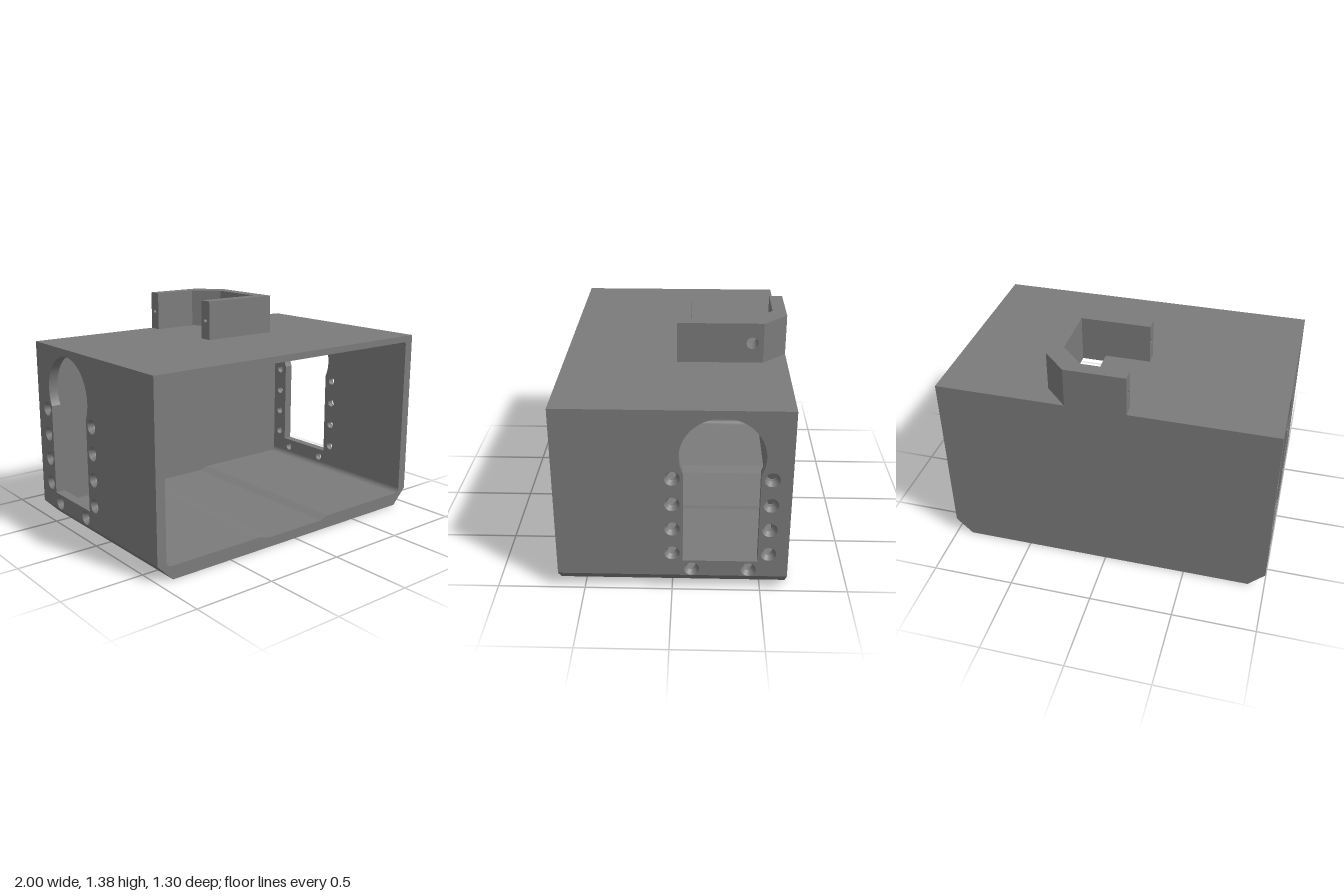
import * as THREE from 'three';

const material = new THREE.MeshStandardMaterial({ color: 0x7b7b7b, side: THREE.DoubleSide });
const V3 = (x, y, z) => new THREE.Vector3(x, y, z);

// Points on an arc, as [u, v] pairs
function arc(u, v, r, from = 0, to = Math.PI * 2, n = 32) {
  return Array.from({ length: n + 1 }, (_, i) => {
    const a = from + (to - from) * i / n;
    return [u + r * Math.cos(a), v + r * Math.sin(a)];
  });
}
const rect = (u0, v0, u1, v1) => [[u0, v0], [u1, v0], [u1, v1], [u0, v1]];
const toPath = (pts, Type) => new Type(pts.map(p => new THREE.Vector2(p[0], p[1])));

// Flat sheet with holes; place(u, v) puts each corner in space
function panel(name, outline, holes, place) {
  const shape = toPath(outline, THREE.Shape);
  shape.holes = holes.map(h => toPath(h, THREE.Path));
  const geo = new THREE.ShapeGeometry(shape);
  const pos = geo.attributes.position;
  for (let i = 0; i < pos.count; i++) {
    const p = place(pos.getX(i), pos.getY(i));
    pos.setXYZ(i, p.x, p.y, p.z);
  }
  geo.computeVertexNormals();
  const mesh = new THREE.Mesh(geo, material);
  mesh.name = name;
  return mesh;
}

// Band of quads between two matching rows of points
function band(name, pts, placeA, placeB, smooth = false) {
  const pos = [], idx = [];
  for (const [u, v] of pts) pos.push(...placeA(u, v).toArray(), ...placeB(u, v).toArray());
  for (let i = 0; i < pts.length - 1; i++) {
    const a = i * 2;
    idx.push(a, a + 2, a + 1, a + 1, a + 2, a + 3);
  }
  let geo = new THREE.BufferGeometry();
  geo.setAttribute('position', new THREE.Float32BufferAttribute(pos, 3));
  geo.setIndex(idx);
  if (!smooth) geo = geo.toNonIndexed();
  geo.computeVertexNormals();
  const mesh = new THREE.Mesh(geo, material);
  mesh.name = name;
  return mesh;
}

const TOP = 1.14, CEIL = 1.1, FRONT = 0.65, BACK = -0.65, BACK_IN = -0.6, IN = 0.942;
const atZ = z => (u, v) => V3(u, v, z);
const atY = y => (u, v) => V3(u, y, v);
const atX = x => (u, v) => V3(x, v, u);

function createBody() {
  const body = new THREE.Group();
  body.name = 'body';
  const under = [[-1, 0.1], [-0.9, 0], [0.9, 0], [1, 0.1]];
  const outer = [...under, [1, TOP], [-1, TOP]];
  // Rounded inner corners and a shallow channel along the floor
  const floor = [
    ...arc(-IN + 0.035, 0.115, 0.035, Math.PI, Math.PI * 1.5, 6),
    [-0.28, 0.08], [-0.21, 0.06], [0.21, 0.06], [0.28, 0.08],
    ...arc(IN - 0.035, 0.115, 0.035, Math.PI * 1.5, Math.PI * 2, 6),
  ];
  const topLeft = arc(IN - 0.02, CEIL - 0.02, 0.02, 0, Math.PI / 2, 5);
  const topRight = arc(-IN + 0.02, CEIL - 0.02, 0.02, Math.PI / 2, Math.PI, 5);
  const inner = [...floor, ...topLeft, ...topRight];
  const slot = rect(0.135, -0.43, 0.28, -0.09);

  body.add(
    panel('frontRim', outer, [inner], atZ(FRONT)),
    panel('backWallOutside', outer, [], atZ(BACK)),
    panel('backWallInside', inner, [], atZ(BACK_IN)),
    band('underside', under, atZ(FRONT), atZ(BACK)),
    band('floor', floor, atZ(FRONT), atZ(BACK_IN)),
    panel('roof', rect(-1, BACK, 1, FRONT), [slot], atY(TOP)),
    panel('ceiling', rect(-IN, BACK_IN, IN, FRONT), [slot], atY(CEIL)),
    band('roofSlot', [...slot, slot[0]], atY(TOP), atY(CEIL)),
  );
  // Ceiling fillets, interrupted where the doorways reach the ceiling
  for (const corner of [topLeft, topRight]) {
    body.add(
      band('ceilingFillet', corner, atZ(FRONT), atZ(-0.18), true),
      band('ceilingFillet', corner, atZ(-0.36), atZ(BACK_IN), true),
    );
  }
  for (const side of [-1, 1]) body.add(createSideWall(side));
  return body;
}

// Side wall with a keyhole doorway and countersunk screw holes
function createSideWall(side) {
  const wall = new THREE.Group();
  wall.name = side > 0 ? 'leftWall' : 'rightWall';
  const out = atX(side), mid = atX(side * 0.97), inn = atX(side * IN);
  const a = Math.acos(0.21 / 0.234);
  const head = arc(-0.27, 0.863, 0.234, -a, Math.PI + a, 56);
  const jambs = [head[head.length - 1], [-0.48, 0.2], [-0.06, 0.2], head[0]];
  const keyhole = [...head, [-0.48, 0.2], [-0.06, 0.2]];
  const screws = [[-0.11, 0.1435], [-0.43, 0.1435]];
  for (const y of [0.25, 0.41, 0.57, 0.731]) screws.push([0, y], [-0.54, y]);
  const ring = r => screws.map(([z, y]) => arc(z, y, r, 0, Math.PI * 2, 24).slice(0, -1));

  wall.add(
    panel('outside', rect(BACK, 0.1, FRONT, TOP), [keyhole, ...ring(0.043)], out),
    panel('inside', rect(BACK_IN, 0.115, FRONT, CEIL), [keyhole, ...ring(0.026)], inn),
    band('doorwayArch', head, out, inn, true),
    band('doorwayJambs', jambs, out, inn),
  );
  const unit = arc(0, 0, 1, 0, Math.PI * 2, 24);
  for (const [z, y] of screws) {
    const ringAt = (r, place) => (u, v) => place(z + u * r, y + v * r);
    wall.add(
      band('countersink', unit, ringAt(0.043, out), ringAt(0.026, mid), true),
      band('screwHole', unit, ringAt(0.026, mid), ringAt(0.026, inn), true),
    );
  }
  return wall;
}

// C-shaped bracket on the roof
function createBracket() {
  const bracket = new THREE.Group();
  bracket.name = 'bracket';
  const H = 1.38, midY = 1.26, z0 = -0.445, r = 0.035, foldZ = -0.43, armZ = -0.01;
  const plan = [
    [-0.14, -0.09], [-0.14, armZ], [0.36, armZ], [0.36, -0.51], [0.22, BACK],
    [-0.14, BACK], [-0.14, -0.57], [0.14, -0.57], [0.28, foldZ], [0.28, -0.09],
  ];
  bracket.add(
    panel('bracketTop', plan, [], atY(H)),
    band('frontArmOutside', plan.slice(1, 3), atY(TOP), atY(H)),
    band('backArmOutside', plan.slice(3, 6), atY(TOP), atY(H)),
    band('backArmInside', plan.slice(6, 8), atY(TOP), atY(H)),
    band('frontArmInside', [plan[9], plan[0]], atY(TOP), atY(H)),
  );

  // Cross hole through the spine, breaking out where the inner face folds
  const inside = (z, y) => V3(z < foldZ ? 0.28 - (foldZ - z) : 0.28, y, z);
  const hole = arc(z0, midY, r);
  const a = Math.acos((foldZ - z0) / r);
  bracket.add(
    panel('spineOutside', rect(-0.51, TOP, armZ, H), [hole.slice(0, -1)], atX(0.36)),
    panel('spineInside', [[foldZ, TOP], [-0.09, TOP], [-0.09, H], [foldZ, H],
      ...arc(z0, midY, r, a, -a, 14)], [], inside),
    panel('spineChamfer', [[-0.57, TOP], [foldZ, TOP],
      ...arc(z0, midY, r, -a, a - Math.PI * 2, 20), [foldZ, H], [-0.57, H]], [], inside),
    band('crossHole', hole, atX(0.36), inside, true),
  );

  // Arm ends with small blind holes
  for (const [zA, zB] of [[-0.09, armZ], [BACK, -0.57]]) {
    const pin = arc((zA + zB) / 2, midY, 0.014, 0, Math.PI * 2, 16);
    bracket.add(
      panel('armEnd', rect(zA, TOP, zB, H), [pin.slice(0, -1)], atX(-0.14)),
      band('pinHole', pin, atX(-0.14), atX(-0.02), true),
      panel('pinHoleEnd', pin.slice(0, -1), [], atX(-0.02)),
    );
  }
  return bracket;
}

export function createModel() {
  const model = new THREE.Group();
  model.name = 'enclosure';
  model.add(createBody(), createBracket());
  return model;
}
